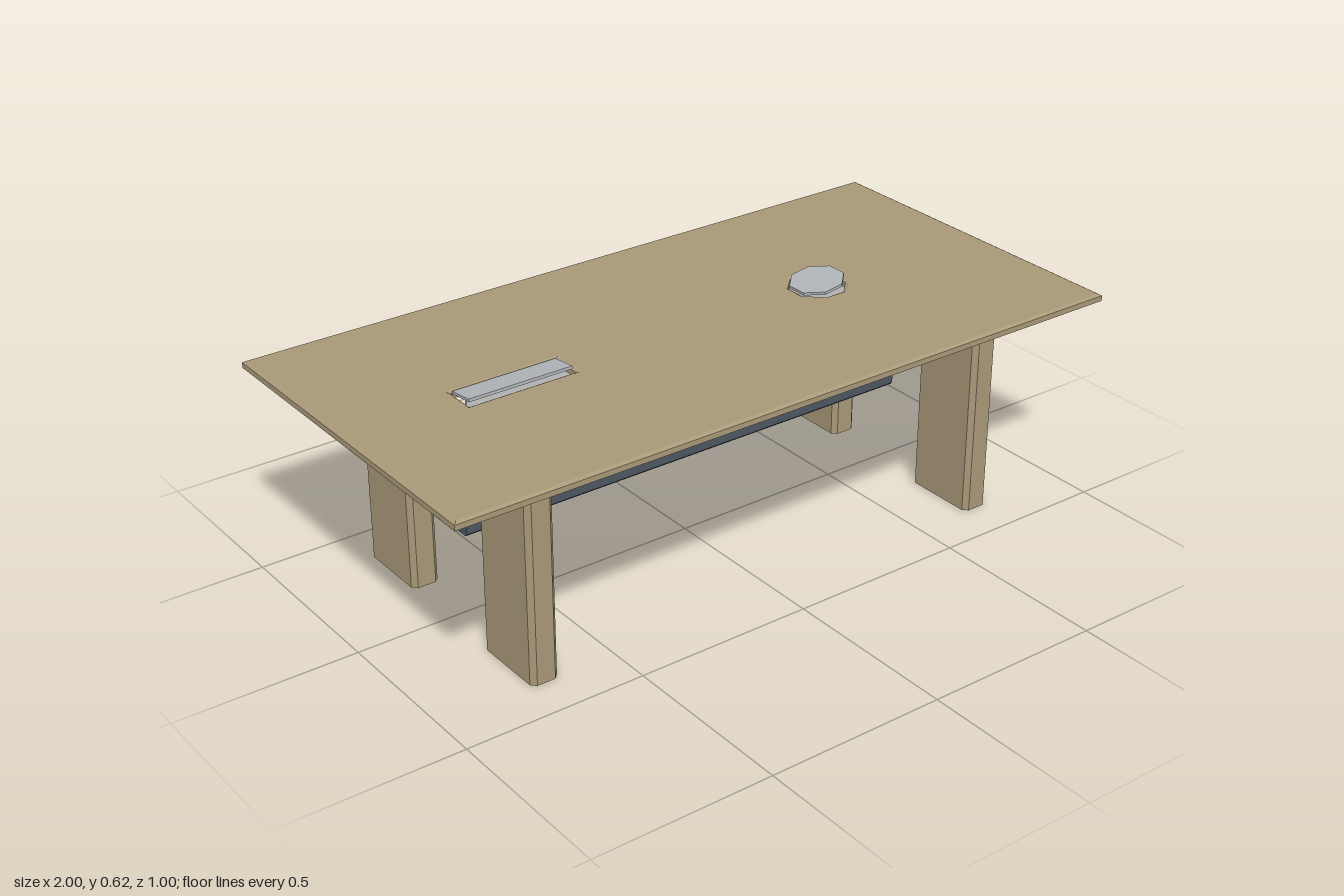
import * as THREE from 'three';

const paint = (name, color) => {
  const m = new THREE.MeshStandardMaterial({ color });
  m.name = name;
  return m;
};

// Rectangle outline with optional corner chamfers
function rect(Type, cx, cy, w, h, c = 0) {
  const s = new Type(), a = w / 2, b = h / 2;
  const pts = c
    ? [[-a + c, -b], [a - c, -b], [a, -b + c], [a, b - c], [a - c, b], [-a + c, b], [-a, b - c], [-a, -b + c]]
    : [[-a, -b], [a, -b], [a, b], [-a, b]];
  s.setFromPoints(pts.map(([x, y]) => new THREE.Vector2(cx + x, cy + y)));
  s.closePath();
  return s;
}

// Octagon with flat sides facing the axes
function octagon(Type, cx, cy, apothem) {
  const r = apothem / Math.cos(Math.PI / 8), pts = [];
  for (let i = 0; i < 8; i++) {
    const t = (i + 0.5) * Math.PI / 4;
    pts.push(new THREE.Vector2(cx + r * Math.cos(t), cy + r * Math.sin(t)));
  }
  const s = new Type();
  s.setFromPoints(pts);
  s.closePath();
  return s;
}

// Extrusion centred on its own depth, optionally with a single bevel
function extrude(shape, depth, bevel = 0, thick = bevel) {
  const g = new THREE.ExtrudeGeometry(shape, {
    depth: depth - 2 * thick, bevelEnabled: bevel > 0,
    bevelSize: bevel, bevelThickness: thick, bevelSegments: 1,
  });
  return g.translate(0, 0, thick - depth / 2);
}

export function createModel() {
  const table = new THREE.Group();
  table.name = 'conferenceTable';
  const wood = paint('wood', 0xa89878);
  const slate = paint('slate', 0x4d5863);
  const steel = paint('lightSteel', 0xc8c8c9);
  const lidGrey = paint('lidGrey', 0xb0b3b8);

  const add = (name, geometry, material, x = 0, y = 0, z = 0) => {
    const m = new THREE.Mesh(geometry, material);
    m.name = name;
    m.position.set(x, y, z);
    table.add(m);
    return m;
  };

  // Table top with a slot and an octagonal opening, all edges bevelled
  const b = 0.009;
  const top = rect(THREE.Shape, 0, 0, 2 - 2 * b, 1 - 2 * b);
  top.holes.push(rect(THREE.Path, -0.522, 0, 0.327, 0.106));
  top.holes.push(octagon(THREE.Path, 0.438, 0, 0.083));
  add('tableTop', extrude(top, 0.025, b, 0.005).rotateX(-Math.PI / 2), wood, 0, 0.5875, 0);

  // Four slab legs with chamfered corners
  for (const [sx, xName] of [[1, 'Left'], [-1, 'Right']]) {
    for (const [sz, zName] of [[1, 'front'], [-1, 'back']]) {
      const leg = extrude(rect(THREE.Shape, 0, 0, 0.078, 0.216, 0.013), 0.576).rotateX(-Math.PI / 2);
      add(`${zName}${xName}Leg`, leg, wood, sx * 0.702, 0.288, sz * 0.276);
    }
  }

  // Central beam
  const beam = extrude(rect(THREE.Shape, 0, 0, 0.067, 0.278, 0.007), 1.39).rotateY(Math.PI / 2);
  add('centreBeam', beam, slate, 0, 0.374, 0);

  // Open-ended cable tray under the top
  add('trayFloor', new THREE.BoxGeometry(1.24, 0.008, 0.14), steel, 0, 0.507, 0);
  for (const s of [1, -1]) {
    add(s > 0 ? 'trayFrontWall' : 'trayBackWall',
      new THREE.BoxGeometry(1.24, 0.064, 0.007), steel, 0, 0.543, s * 0.0665);
  }

  // Hinged lids, slightly raised
  const slotLid = add('slotLid', new THREE.BoxGeometry(0.3, 0.008, 0.076), lidGrey, -0.522, 0.603, -0.002);
  slotLid.rotation.x = -0.12;
  const roundLid = add('octagonLid',
    extrude(octagon(THREE.Shape, 0, 0, 0.07), 0.008).rotateX(-Math.PI / 2), lidGrey, 0.438, 0.61, 0);
  roundLid.rotation.z = 0.15;

  return table;
}
